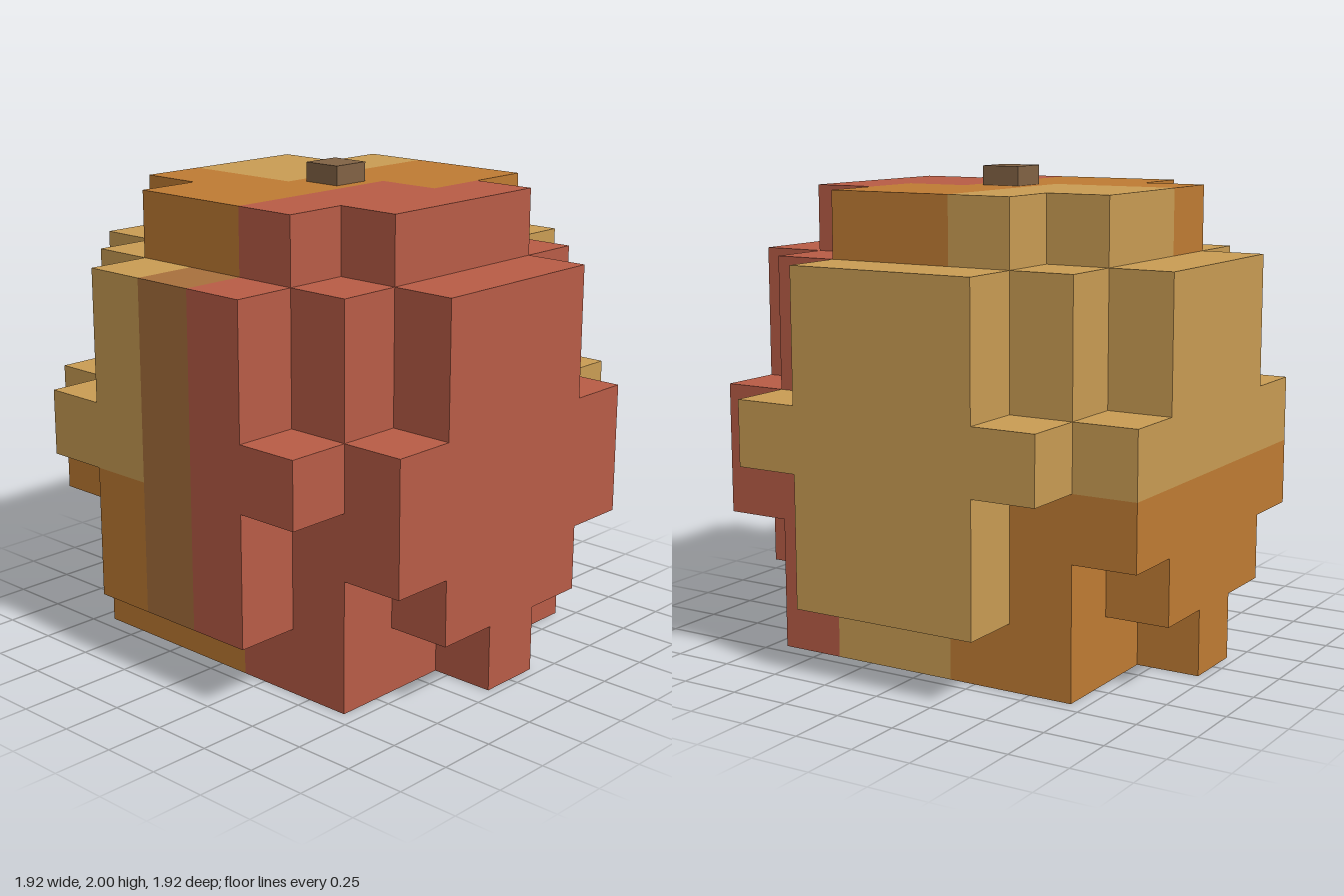
import * as THREE from 'three';

const N = 7, C = 1.92 / N; // cells per side, cell size

const mat = (name, color) => {
  const m = new THREE.MeshStandardMaterial({ color });
  m.name = name;
  return m;
};

// Each part lists solid blocks of cells: [colour, x0, x1, y0, y1, z0, z1], ends included
const PARTS = {
  core: [
    ['orange', 1, 5, 0, 2, 1, 5],
    ['tan', 1, 4, 3, 5, 1, 5],
    ['tan', 3, 4, 0, 0, 1, 3],
    ['red', 4, 5, 0, 5, 4, 5],
    ['red', 5, 5, 0, 5, 1, 3],
  ],
  crown: [
    ['orange', 2, 4, 6, 6, 1, 5],
    ['orange', 1, 5, 6, 6, 2, 4],
    ['tan', 2, 2, 6, 6, 1, 1],
    ['tan', 1, 2, 6, 6, 2, 3],
    ['red', 4, 4, 6, 6, 3, 5],
    ['red', 5, 5, 6, 6, 2, 4],
  ],
  frontPlate: [
    ['orange', 2, 2, 1, 2, 6, 6],
    ['tan', 2, 2, 3, 5, 6, 6],
    ['tan', 1, 1, 3, 3, 6, 6],
    ['brown', 3, 3, 1, 5, 6, 6],
    ['red', 4, 4, 1, 5, 6, 6],
    ['red', 5, 5, 3, 3, 6, 6],
  ],
  backPlate: [
    ['tan', 2, 4, 1, 5, 0, 0],
    ['tan', 1, 5, 3, 3, 0, 0],
  ],
};
// Side plates share one stepped outline
for (const [part, x, low, high] of [['leftPlate', 6, 'red', 'red'], ['rightPlate', 0, 'orange', 'tan']]) {
  PARTS[part] = [
    [low, x, x, 0, 0, 3, 3],
    [low, x, x, 1, 1, 2, 4],
    [low, x, x, 2, 2, 1, 5],
    [high, x, x, 3, 3, 1, 5],
    [high, x, x, 4, 5, 2, 4],
  ];
}

// Six face directions with two in-plane axes (u x v = normal)
const FACES = [];
for (let a = 0; a < 3; a++) {
  for (const s of [1, -1]) {
    const u = (a + (s > 0 ? 1 : 2)) % 3, v = (a + (s > 0 ? 2 : 1)) % 3;
    FACES.push({ a, s, u, v });
  }
}

export function createModel() {
  const model = new THREE.Group();
  model.name = 'blockSphere';
  const materials = {
    red: mat('red', 0xb85c46),
    orange: mat('orange', 0xbf7b33),
    tan: mat('tan', 0xc99c53),
    brown: mat('brown', 0xa8703d),
    stem: mat('stem', 0x816244),
  };

  // Fill the grid; later blocks repaint earlier ones
  const cells = new Map();
  for (const [part, blocks] of Object.entries(PARTS)) {
    for (const [color, x0, x1, y0, y1, z0, z1] of blocks) {
      for (let x = x0; x <= x1; x++)
        for (let y = y0; y <= y1; y++)
          for (let z = z0; z <= z1; z++) cells.set([x, y, z].join(), { part, color, p: [x, y, z] });
    }
  }

  // Collect the outer faces of each part, by colour
  const skins = {};
  for (const { part, color, p } of cells.values()) {
    const out = ((skins[part] ??= {})[color] ??= { pos: [], nor: [] });
    for (const { a, s, u, v } of FACES) {
      const next = [...p];
      next[a] += s;
      if (cells.has(next.join())) continue;
      for (const [i, j] of [[0, 0], [1, 0], [1, 1], [0, 0], [1, 1], [0, 1]]) {
        const q = [...p];
        q[a] += s > 0 ? 1 : 0;
        q[u] += i;
        q[v] += j;
        out.pos.push((q[0] - N / 2) * C, q[1] * C, (q[2] - N / 2) * C);
        const n = [0, 0, 0];
        n[a] = s;
        out.nor.push(...n);
      }
    }
  }

  for (const [part, colors] of Object.entries(skins)) {
    const group = new THREE.Group();
    group.name = part;
    for (const [color, { pos, nor }] of Object.entries(colors)) {
      if (!pos.length) continue;
      const geo = new THREE.BufferGeometry();
      geo.setAttribute('position', new THREE.Float32BufferAttribute(pos, 3));
      geo.setAttribute('normal', new THREE.Float32BufferAttribute(nor, 3));
      const mesh = new THREE.Mesh(geo, materials[color]);
      mesh.name = `${part} ${color}`;
      group.add(mesh);
    }
    model.add(group);
  }

  // Small stem on the crown
  const stem = new THREE.Mesh(new THREE.BoxGeometry(0.17, 0.08, 0.17), materials.stem);
  stem.name = 'stem';
  stem.position.y = 1.96;
  model.add(stem);

  return model;
}
